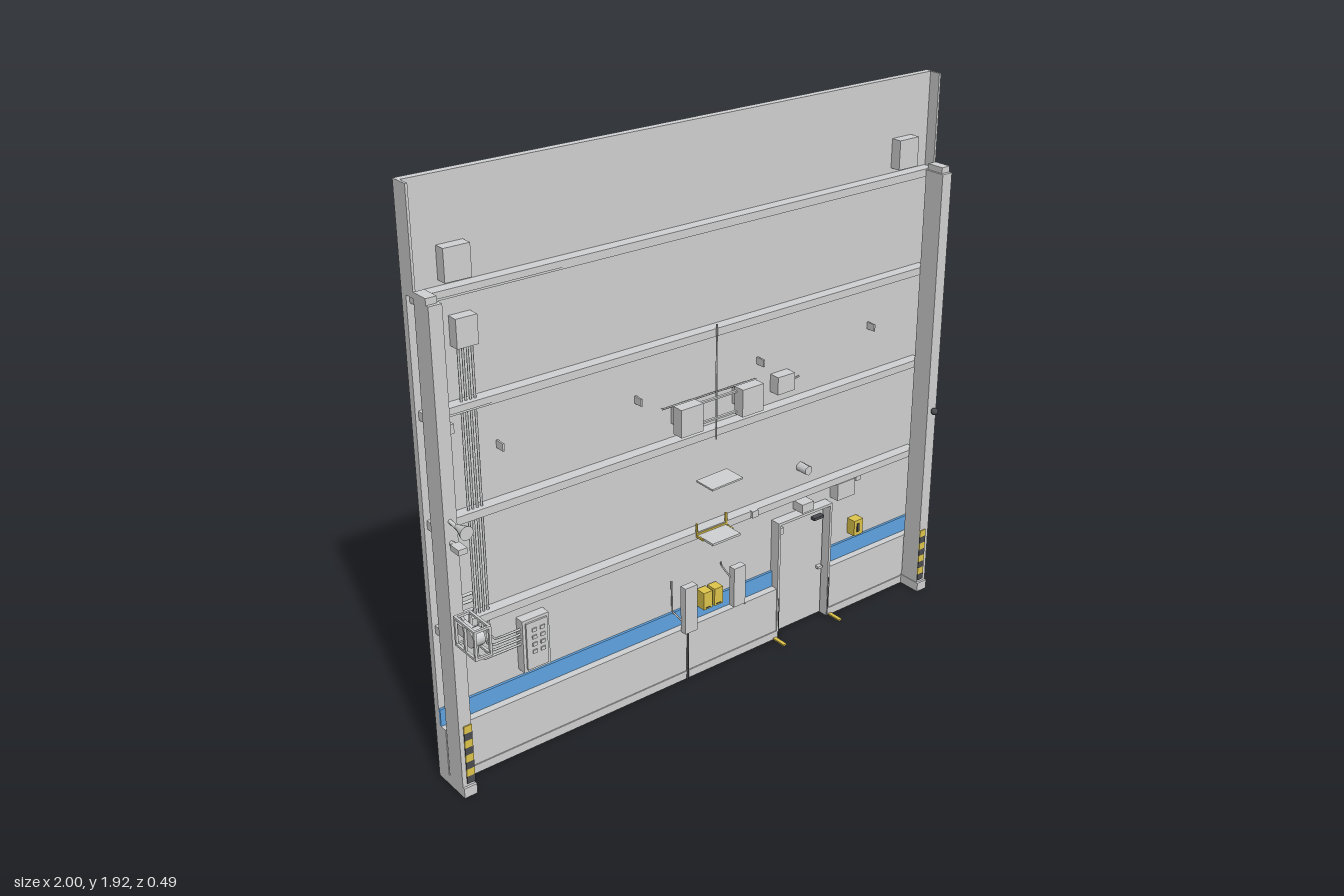
import * as THREE from 'three';

export function createModel() {
  const root = new THREE.Group();
  root.name = 'wallSection';
  const mat = (name, color) => {
    const m = new THREE.MeshStandardMaterial({ color });
    m.name = name;
    return m;
  };
  const grey = mat('concreteGrey', 0xd1d2d3);
  const blue = mat('stripeBlue', 0x5fa4e2);
  const yellow = mat('safetyYellow', 0xe0c64c);
  const dark = mat('darkGrey', 0x4c4d51);

  const add = (name, geo, m, parent = root) => {
    const mesh = new THREE.Mesh(geo, m);
    mesh.name = name;
    parent.add(mesh);
    return mesh;
  };
  // Box given by its limits on each axis
  const box = (name, m, x0, x1, y0, y1, z0, z1, parent = root) => {
    const mesh = add(name, new THREE.BoxGeometry(x1 - x0, y1 - y0, z1 - z0), m, parent);
    mesh.position.set((x0 + x1) / 2, (y0 + y1) / 2, (z0 + z1) / 2);
    return mesh;
  };
  // Pipe with sharp bends through a list of points
  const pipe = (name, m, pts, r = 0.004, parent = root) => {
    const path = new THREE.CurvePath();
    const v = pts.map(p => new THREE.Vector3(...p));
    for (let i = 1; i < v.length; i++) path.add(new THREE.LineCurve3(v[i - 1], v[i]));
    return add(name, new THREE.TubeGeometry(path, 12 * (v.length - 1), r, 6), m, parent);
  };

  // Main wall, plinth and blue stripe, interrupted by the doorway
  box('wall', grey, -1, 1, 0, 1.92, -0.02, 0.005);
  for (const [x0, x1] of [[-1, 0.335], [0.585, 1]]) {
    box('plinth', grey, x0, x1, 0, 0.2, 0.005, 0.04);
    box('skirting', grey, x0, x1, 0, 0.03, 0.04, 0.044);
    box('blueStripe', blue, x0, x1, 0.2, 0.26, 0.005, 0.014);
  }

  // Horizontal beams, flat on top with a thin lip below
  for (const y of [1.59, 1.24, 0.893, 0.54]) {
    box('beam', grey, -0.99, 0.99, y - 0.008, y + 0.013, 0.005, 0.045);
    box('beamLip', grey, -0.99, 0.99, y - 0.015, y - 0.008, 0.005, 0.042);
  }

  // Columns, upper end flanges and hazard stripes on both sides
  for (const s of [-1, 1]) {
    const side = new THREE.Group();
    side.name = s > 0 ? 'leftSide' : 'rightSide';
    root.add(side);
    const sbox = (name, m, a, b, ...rest) => box(name, m, Math.min(s * a, s * b), Math.max(s * a, s * b), ...rest, side);
    sbox('column', grey, 0.957, 1, 0, 1.6, 0.045, 0.122);
    sbox('columnCap', grey, 0.965, 1, 1.6, 1.62, 0.045, 0.11);
    sbox('columnFoot', grey, 0.955, 1, 0, 0.035, 0.04, 0.13);
    sbox('endFlange', grey, 0.992, 1, 1.6, 1.92, 0.005, 0.045);
    for (let i = 0; i < 8; i++)
      sbox('hazardStripe', i % 2 ? yellow : dark, 0.957, 0.985, 0.045 + i * 0.026, 0.071 + i * 0.026, 0.12, 0.126);
  }
  for (const x of [-0.9, 0.83]) box('upperBox', grey, x, x + 0.086, 1.62, 1.72, 0.005, 0.043);

  // Conduits between junction box and control panel
  box('junctionBox', grey, -0.875, -0.805, 1.42, 1.51, 0.005, 0.043);
  for (let i = 0; i < 4; i++) {
    const x = -0.863 + i * 0.015, y = 0.385 + i * 0.018;
    pipe('conduit', grey, [[x, 1.42, 0.025], [x, y + 0.02, 0.025], [x + 0.02, y, 0.025], [-0.71, y, 0.025]], 0.004);
  }
  box('controlPanel', grey, -0.71, -0.612, 0.285, 0.472, 0.005, 0.04);
  box('panelDoor', grey, -0.7, -0.622, 0.295, 0.462, 0.04, 0.046);
  for (let i = 0; i < 4; i++) for (const x of [-0.68, -0.65])
    box('panelSwitch', grey, x, x + 0.016, 0.35 + i * 0.026, 0.362 + i * 0.026, 0.045, 0.05);

  // Right column fittings
  pipe('columnConduit', grey, [[-0.95, 0.55, 0.03], [-0.95, 1.19, 0.03], [-0.92, 1.19, 0.03]], 0.005);
  box('conduitBox', grey, -0.945, -0.9, 1.17, 1.2, 0.01, 0.04);
  for (const y of [0.575, 0.605, 0.63]) pipe('crossConduit', grey, [[-0.87, y, 0.025], [-0.94, y, 0.025], [-0.97, y, 0.15]], 0.005);
  const horn = add('horn', new THREE.CylinderGeometry(0.022, 0.006, 0.055, 16), grey);
  horn.rotation.x = Math.PI / 2;
  horn.position.set(-0.98, 0.95, 0.185);
  pipe('hornArm', grey, [[-0.98, 0.95, 0.12], [-0.98, 0.945, 0.165]], 0.007);
  box('beacon', grey, -0.995, -0.965, 0.87, 0.888, 0.14, 0.185);
  pipe('beaconArm', grey, [[-0.98, 0.88, 0.12], [-0.98, 0.88, 0.145]], 0.008);

  // Floodlight inside a wire cage
  const cage = new THREE.Group();
  cage.name = 'floodlightCage';
  root.add(cage);
  for (const x of [-0.995, -0.945]) {
    for (const y of [0.557, 0.648]) box('cageRail', grey, x - 0.004, x + 0.004, y - 0.004, y + 0.004, 0.135, 0.248, cage);
    for (const z of [0.139, 0.19, 0.244]) box('cagePost', grey, x - 0.004, x + 0.004, 0.557, 0.648, z - 0.004, z + 0.004, cage);
  }
  for (const y of [0.557, 0.648]) for (const z of [0.139, 0.244])
    box('cageBar', grey, -0.995, -0.945, y - 0.004, y + 0.004, z - 0.004, z + 0.004, cage);
  const lamp = add('lamp', new THREE.CylinderGeometry(0.028, 0.028, 0.04, 16), grey, cage);
  lamp.rotation.z = Math.PI / 2;
  lamp.position.set(-0.97, 0.602, 0.2);
  box('lampBase', grey, -0.985, -0.955, 0.585, 0.62, 0.12, 0.18, cage);

  // Sensor on the left column, switch on the right one
  const sensor = add('sensor', new THREE.SphereGeometry(0.013, 12, 8), dark);
  sensor.position.set(0.98, 0.733, 0.134);
  box('columnSwitch', dark, -0.957, -0.937, 0.13, 0.22, 0.04, 0.075);

  // Central boxes standing off the wall on a pipe frame
  for (const x of [-0.12, 0.13]) {
    box('centreBox', grey, x, x + 0.088, 0.937, 1.033, 0.042, 0.084);
    box('centreBoxMount', grey, x + 0.02, x + 0.068, 0.955, 1.015, 0.005, 0.042);
  }
  for (const y of [0.947, 1.018]) box('centreRail', grey, -0.04, 0.14, y - 0.003, y + 0.003, 0.045, 0.055);
  pipe('centreCrossPipe', grey, [[-0.15, 1.022, 0.02], [0.24, 1.022, 0.02]], 0.003);
  pipe('centreRod', grey, [[0.05, 0.87, 0.048], [0.05, 1.27, 0.048]], 0.003);
  box('smallBox', grey, 0.315, 0.388, 0.95, 1.013, 0.005, 0.045);
  pipe('smallBoxCable', grey, [[0.388, 0.975, 0.02], [0.43, 0.98, 0.02]], 0.003);
  for (const x of [-0.742, -0.24, 0.257, 0.755]) box('wallClip', grey, x - 0.003, x + 0.003, 1.065, 1.09, 0.005, 0.04);

  // Tilted shelf and yellow-edged bracket below it
  const shelf = box('shelf', grey, -0.03, 0.098, 0.741, 0.747, 0.045, 0.128);
  shelf.rotation.z = 0.03;
  box('lowerShelf', grey, -0.025, 0.093, 0.535, 0.543, 0.04, 0.125);
  for (const x of [-0.03, 0.095]) {
    box('bracketPost', yellow, x, x + 0.005, 0.535, 0.585, 0.04, 0.048);
    box('bracketArm', yellow, x, x + 0.005, 0.535, 0.542, 0.04, 0.08);
  }
  box('bracketEdge', yellow, -0.03, 0.1, 0.543, 0.549, 0.04, 0.048);

  // Yellow call boxes between two control posts
  for (const x of [-0.004, 0.042]) {
    box('callBox', yellow, x, x + 0.036, 0.25, 0.315, 0.015, 0.055);
    box('callBoxSlot', dark, x + 0.008, x + 0.028, 0.255, 0.258, 0.054, 0.057);
  }
  box('rightPost', grey, -0.092, -0.042, 0.195, 0.37, 0.04, 0.066);
  box('leftPost', grey, 0.118, 0.168, 0.22, 0.37, 0.04, 0.066);
  pipe('postCable', dark, [[-0.065, 0.195, 0.045], [-0.067, 0, 0.045]], 0.004);
  pipe('rightPostCable', grey, [[-0.115, 0.39, 0.02], [-0.112, 0.27, 0.02], [-0.092, 0.24, 0.045]], 0.003);
  pipe('leftPostCable', grey, [[0.095, 0.39, 0.02], [0.1, 0.37, 0.02], [0.118, 0.33, 0.045]], 0.003);
  pipe('leftPostTail', grey, [[0.168, 0.24, 0.045], [0.185, 0.2, 0.043]], 0.003);

  // Doorway, door and rear vestibule
  box('vestibule', grey, 0.33, 0.59, 0, 0.46, -0.13, -0.02);
  for (const x of [0.335, 0.575]) box('doorJamb', grey, x, x + 0.01, 0, 0.46, 0.005, 0.044);
  box('doorLintel', grey, 0.335, 0.585, 0.45, 0.46, 0.005, 0.044);
  box('door', grey, 0.353, 0.568, 0.008, 0.443, 0.005, 0.015);
  for (const x of [0.341, 0.577]) box('doorSeal', dark, x, x + 0.003, 0, 0.16, 0.044, 0.046);
  for (const x of [0.32, 0.585]) box('floorMark', yellow, x, x + 0.014, 0, 0.006, 0.04, 0.1);
  box('doorCloser', dark, 0.51, 0.555, 0.408, 0.418, 0.012, 0.035);
  box('doorHinge', grey, 0.362, 0.374, 0.4, 0.425, 0.012, 0.025);
  box('doorHandle', grey, 0.54, 0.56, 0.2, 0.21, 0.012, 0.03);
  box('rearStep', grey, 0.35, 0.56, 0.003, 0.014, -0.18, -0.162);
  box('rearCloser', dark, 0.5, 0.555, 0.415, 0.425, -0.19, -0.177);
  pipe('rearCloserArm', grey, [[0.53, 0.42, -0.18], [0.525, 0.432, -0.245], [0.55, 0.432, -0.185]], 0.003);

  // Signs and boxes around the door
  box('doorLamp', grey, 0.432, 0.485, 0.472, 0.505, 0.005, 0.055);
  box('doorBox', grey, 0.608, 0.69, 0.46, 0.525, 0.005, 0.045);
  box('doorButton', grey, 0.71, 0.732, 0.5, 0.522, 0.005, 0.03);
  box('wallSocket', grey, 0.205, 0.23, 0.53, 0.555, 0.04, 0.055);
  const alarm = add('alarmDisc', new THREE.CylinderGeometry(0.018, 0.018, 0.045, 6), grey);
  alarm.rotation.x = Math.PI / 2;
  alarm.position.set(0.46, 0.628, 0.0275);
  box('yellowCallPoint', yellow, 0.7, 0.742, 0.285, 0.345, 0.005, 0.042);
  box('callPointFace', dark, 0.712, 0.722, 0.3, 0.332, 0.041, 0.046);
  return root;
}
